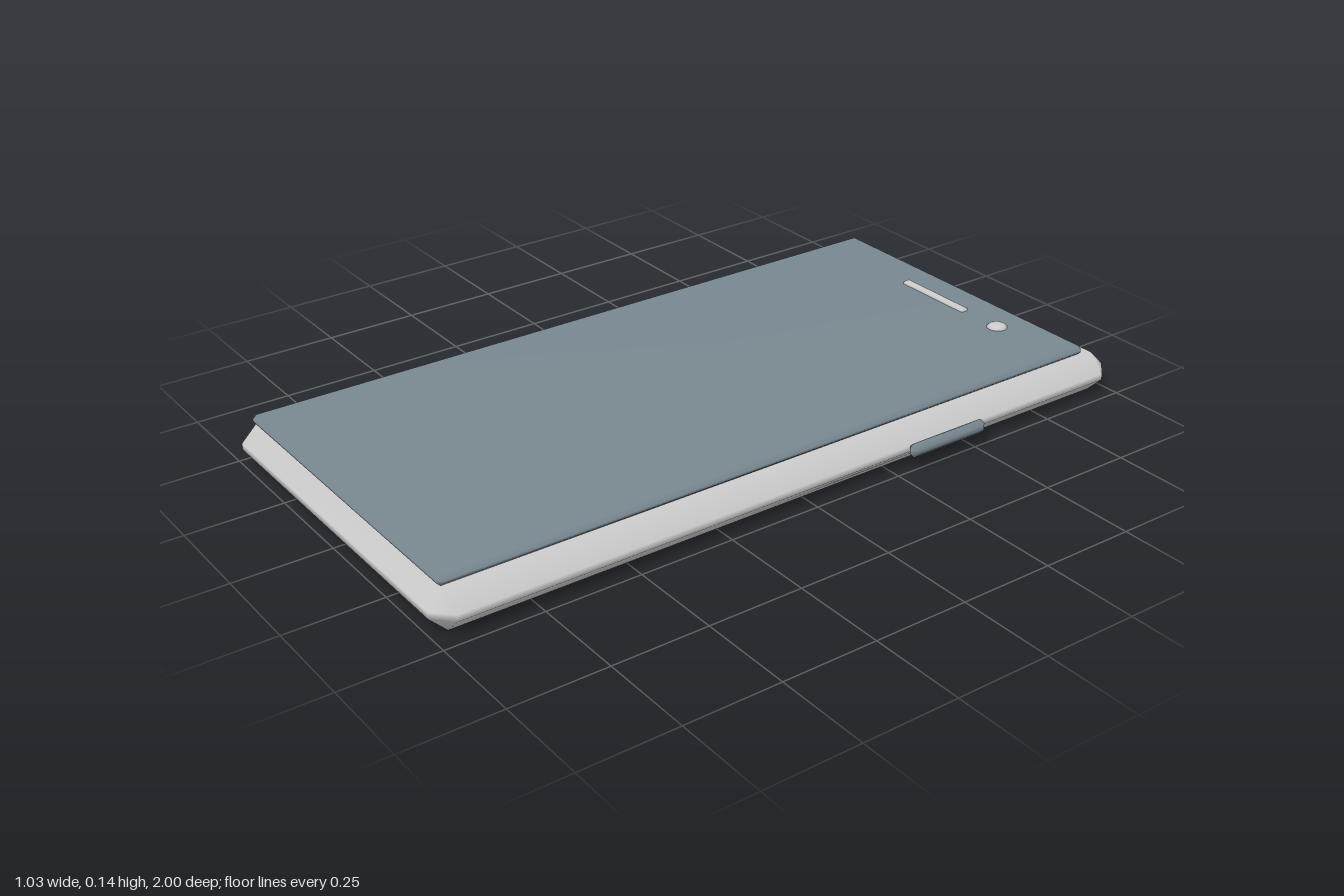
import * as THREE from 'three';
import { mergeVertices } from 'three/addons/utils/BufferGeometryUtils.js';
import { ConvexGeometry } from 'three/addons/geometries/ConvexGeometry.js';

const grey = new THREE.MeshStandardMaterial({ color: 0xcccccc });
const slate = new THREE.MeshStandardMaterial({ color: 0x788790 });

// Box with single-step bevelled edges and area-weighted smooth normals
function bevelBox([x0, x1], [y0, y1], [z0, z1], bevel) {
  const half = [(x1 - x0) / 2, (y1 - y0) / 2, (z1 - z0) / 2];
  const points = [];
  for (const sx of [-1, 1]) for (const sy of [-1, 1]) for (const sz of [-1, 1]) {
    for (let axis = 0; axis < 3; axis++) {
      const p = half.map((h, i) => (i === axis ? h : h - bevel));
      points.push(new THREE.Vector3(sx * p[0], sy * p[1], sz * p[2]));
    }
  }
  const hull = new ConvexGeometry(points);
  hull.deleteAttribute('normal');
  const geometry = mergeVertices(hull, 1e-5);
  geometry.computeVertexNormals();
  geometry.translate((x0 + x1) / 2, (y0 + y1) / 2, (z0 + z1) / 2);
  return geometry;
}

export function createModel() {
  const model = new THREE.Group();
  model.name = 'phone';
  const add = (name, geometry, material) => {
    const mesh = new THREE.Mesh(geometry, material);
    mesh.name = name;
    model.add(mesh);
    return mesh;
  };

  // Case and glass
  add('body', bevelBox([-0.515, 0.485], [0, 0.107], [-1, 1], 0.045), grey);
  add('screen', bevelBox([-0.47, 0.44], [0.107, 0.133], [-0.925, 0.97], 0.01), slate);

  // Side key
  add('sideButton', bevelBox([0.485, 0.513], [0.036, 0.073], [-0.525, -0.285], 0.012), slate);

  // Earpiece bar and round sensor on the glass
  add('earpiece', bevelBox([-0.135, 0.105], [0.115, 0.14], [-0.838, -0.812], 0.006), grey);
  const dome = [[0, 0.12], [0.027, 0.12], [0.027, 0.134], [0.022, 0.139], [0.014, 0.143], [0, 0.143]]
    .map(([r, y]) => new THREE.Vector2(r, y));
  add('sensor', new THREE.LatheGeometry(dome, 24), grey).position.set(0.225, 0, -0.825);

  return model;
}
